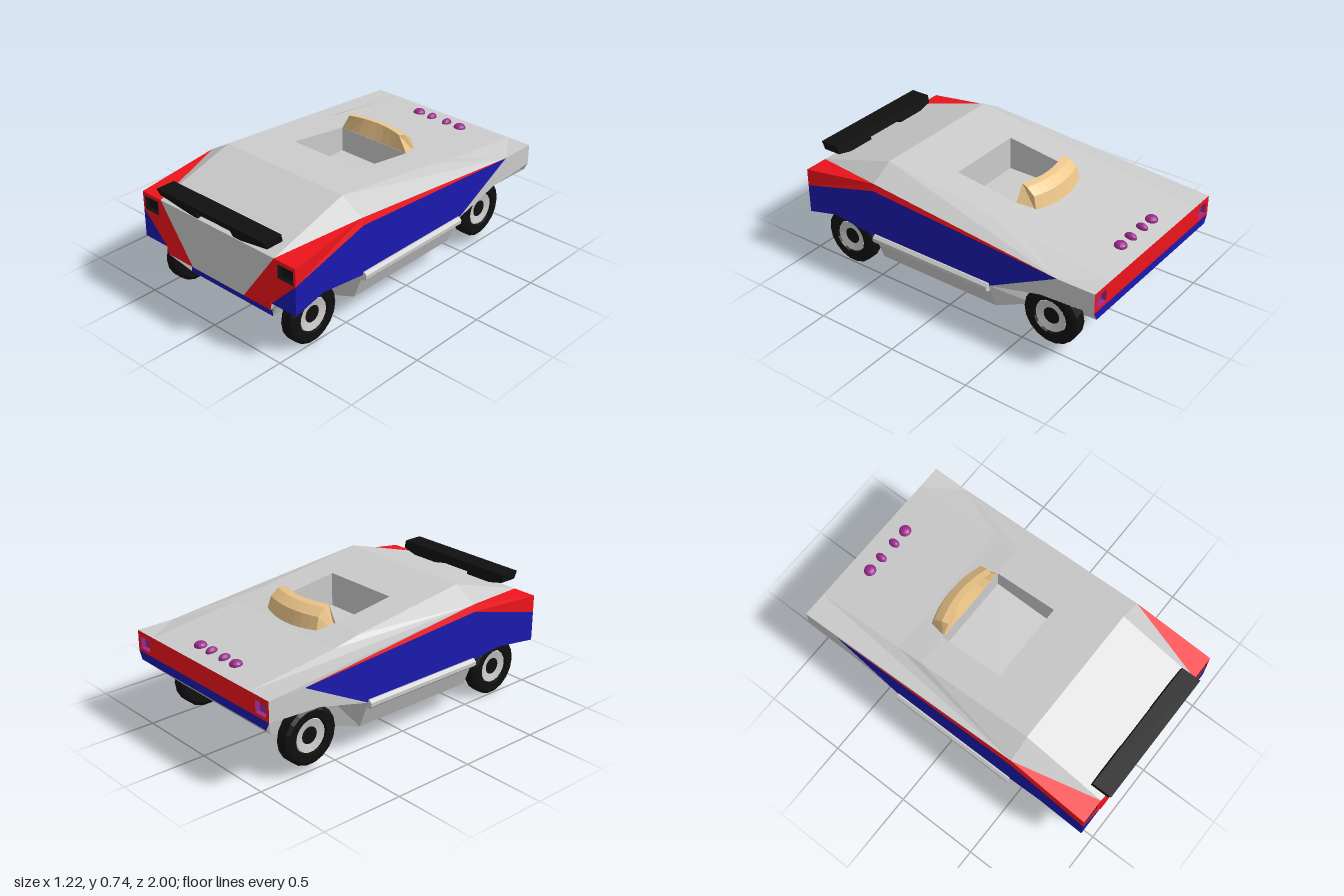
import * as THREE from 'three';

const mat = (color) => new THREE.MeshStandardMaterial({ color, side: THREE.DoubleSide, flatShading: true });
const grey = mat(0xcccccc), red = mat(0xf0141c), blue = mat(0x1a1ab0), black = mat(0x101010);
const tan = mat(0xecc588), purple = mat(0x9a2a8c);

const mirror = (pts) => pts.map(([x, y, z]) => [-x, y, z]).reverse();

// Flat-shaded mesh from polygons, each cut into a fan from its first corner
function panels(name, material, polys, mirrored = false) {
  const pos = [];
  const add = (p) => {
    for (let i = 1; i < p.length - 1; i++) pos.push(...p[0], ...p[i], ...p[i + 1]);
  };
  polys.forEach((p) => {
    add(p);
    if (mirrored) add(mirror(p));
  });
  const g = new THREE.BufferGeometry();
  g.setAttribute('position', new THREE.Float32BufferAttribute(pos, 3));
  g.computeVertexNormals();
  const m = new THREE.Mesh(g, material);
  m.name = name;
  return m;
}

// Quads joining consecutive cross-sections of equal length
function loft(rows) {
  const out = [];
  for (let i = 0; i < rows.length - 1; i++)
    for (let j = 0; j < rows[i].length - 1; j++)
      out.push([rows[i][j], rows[i + 1][j], rows[i + 1][j + 1], rows[i][j + 1]]);
  return out;
}

// Upright panel with rectangular openings, and open boxes set into them
function lampPanel(name, outlines, z, [x0, x1, y0, y1], depth, lampMat) {
  const group = new THREE.Group();
  group.name = name;
  const shapes = outlines.map((o) => new THREE.Shape(o.map(([x, y]) => new THREE.Vector2(x, y))));
  for (const s of [-1, 1]) {
    const hole = [[x0, y0], [x0, y1], [x1, y1], [x1, y0]].map(([x, y]) => new THREE.Vector2(s * x, y));
    shapes[shapes.length === 1 || s < 0 ? 0 : 1].holes.push(new THREE.Path(hole));
    const lamp = new THREE.Mesh(new THREE.BoxGeometry(x1 - x0, y1 - y0, 0.002), lampMat);
    lamp.position.set(s * (x0 + x1) / 2, (y0 + y1) / 2, z - depth);
    lamp.name = name + 'Lamp';
    const rim = hole.map((p) => [p.x, p.y, z]);
    const back = hole.map((p) => [p.x, p.y, z - depth]);
    const walls = rim.map((p, i) => [p, rim[(i + 1) % 4], back[(i + 1) % 4], back[i]]);
    group.add(lamp, panels(name + 'LampRecess', lampMat, walls));
  }
  const face = new THREE.Mesh(new THREE.ShapeGeometry(shapes), red);
  face.position.z = z;
  face.name = name + 'Face';
  group.add(face);
  return group;
}

function wheel(name, x, y, z) {
  const g = new THREE.Group();
  g.name = name;
  const lathe = (pts, m, part) => {
    const mesh = new THREE.Mesh(new THREE.LatheGeometry(pts.map((p) => new THREE.Vector2(...p)), 18), m);
    mesh.rotation.z = -Math.PI / 2;
    mesh.name = part;
    g.add(mesh);
  };
  lathe([[0, -0.045], [0.15, -0.045], [0.17, -0.032], [0.17, 0.032], [0.15, 0.045], [0.105, 0.045], [0.1, 0.02]], black, 'tyre');
  lathe([[0.1, 0.02], [0.095, 0.036], [0.05, 0.026]], grey, 'rim');
  lathe([[0.05, 0.026], [0, 0.026]], black, 'hub');
  g.position.set(x, y, z);
  if (x < 0) g.rotation.y = Math.PI;
  return g;
}

export function createModel() {
  const car = new THREE.Group();
  car.name = 'wedgeCar';
  const W = 0.585, R = 0.435, C = 0.245;

  // Roof around the cockpit opening
  const row = (a, b, y, z) => [[a, y, z], [b, y, z]];
  car.add(panels('roof', grey, [
    ...loft([row(-R, R, 0.59, 0.96), row(-R, R, 0.745, 0.46), row(-R, R, 0.702, 0.125)]),
    ...loft([row(-R, R, 0.65, -0.27), row(-R, R, 0.618, -0.44), row(-R, R, 0.55, -1)]),
  ]));
  car.add(panels('roofSides', grey, [
    ...loft([row(C, R, 0.702, 0.125), row(C, R, 0.65, -0.27)]),
    [[W, 0.55, -0.77], [W, 0.55, -1], [R, 0.55, -1], [R, 0.618, -0.44], [R, 0.65, -0.27],
      [R, 0.702, 0.125], [R, 0.745, 0.46], [0.573, 0.665, 0.46]],
    [[R, 0.745, 0.46], [R, 0.59, 0.96], [0.573, 0.665, 0.46]],
  ], true));

  // Cockpit tub
  const F = 0.5;
  car.add(panels('cockpit', grey, [
    [[-C, F, 0.125], [C, F, 0.125], [C, F, -0.27], [-C, F, -0.27]],
    [[-C, 0.702, 0.125], [C, 0.702, 0.125], [C, F, 0.125], [-C, F, 0.125]],
    [[-C, 0.65, -0.27], [-C, F, -0.27], [C, F, -0.27], [C, 0.65, -0.27]],
    ...[-C, C].map((x) => [[x, 0.702, 0.125], [x, 0.65, -0.27], [x, F, -0.27], [x, F, 0.125]]),
  ]));

  // Side panels
  car.add(panels('redSideStripe', red, [
    [[W, 0.485, 0.96], [W, 0.625, 0.46], [0.573, 0.665, 0.46], [W, 0.59, 0.96]],
    [[W, 0.625, 0.46], [W, 0.55, -0.77], [0.573, 0.665, 0.46]],
    [[0.573, 0.665, 0.46], [R, 0.59, 0.96], [W, 0.59, 0.96]],
  ], true));
  car.add(panels('blueSide', blue, [
    [[W, 0.625, 0.46], [W, 0.485, 0.96], [W, 0.31, 0.96], [W, 0.36, 0.76], [W, 0.325, 0.46],
      [W, 0.325, -0.34], [W, 0.55, -0.77]],
    [[W, 0.485, 0.96], [0.41, 0.31, 0.96], [W, 0.31, 0.96]],
  ], true));
  car.add(panels('rearSide', grey, [
    [[W, 0.55, -0.77], [W, 0.325, -0.34], [W, 0.41, -0.67], [W, 0.43, -1], [W, 0.55, -1]],
  ], true));

  // Nose
  const noseHalf = [[0.435, 0.59], [0.2, 0.265], [0.4, 0.265], [0.41, 0.31], [W, 0.485], [W, 0.59]];
  car.add(lampPanel('nose', [noseHalf.map(([x, y]) => [-x, y]), noseHalf], 0.96, [0.46, 0.57, 0.485, 0.567], 0.03, black));
  car.add(panels('noseCentre', grey, [
    [[-R, 0.59, 0.96], [-0.2, 0.265, 0.96], [0.2, 0.265, 0.96], [R, 0.59, 0.96]],
    [[-0.2, 0.265, 0.96], [-0.11, 0.19, 0.87], [0.11, 0.19, 0.87], [0.2, 0.265, 0.96]],
  ]));
  car.add(panels('chin', red, [[[0.2, 0.265, 0.96], [0.11, 0.19, 0.87], [0.32, 0.19, 0.87], [0.4, 0.265, 0.96]]], true));
  car.add(panels('chinStrip', blue, [[[-0.32, 0.19, 0.87], [-0.32, 0.145, 0.87], [0.32, 0.145, 0.87], [0.32, 0.19, 0.87]]]));
  car.add(panels('noseUnderside', grey, [
    [[0.4, 0.333, 0.87], [0.41, 0.31, 0.96], [0.4, 0.265, 0.96], [0.32, 0.19, 0.87], [0.32, 0.145, 0.87]],
    [[0.41, 0.31, 0.96], [0.4, 0.333, 0.87], [W, 0.333, 0.87], [W, 0.31, 0.96]],
  ], true));

  // Tail
  car.add(lampPanel('tail', [[[-W, 0.43], [W, 0.43], [W, 0.55], [-W, 0.55]]], -1, [0.475, 0.56, 0.45, 0.52], -0.03, purple));
  car.add(panels('tailStrip', blue, [[[-W, 0.43, -1], [W, 0.43, -1], [0.56, 0.38, -1], [-0.56, 0.38, -1]]]));

  // Lower hull with wheel wells: z, arch height, inner wall x, floor edge x and y, middle floor y
  const hull = [
    [0.87, 0.333, 0.4, 0.32, 0.145, 0.145], [0.76, 0.36, 0.4, 0.32, 0.145, 0.145],
    [0.57, 0.338, 0.4, 0.32, 0.145, 0.145], [0.46, 0.325, W, 0.52, 0.158, 0.145],
    [-0.34, 0.325, W, 0.52, 0.158, 0.145], [-0.5, 0.366, 0.42, 0.4, 0.17, 0.17],
    [-0.67, 0.41, 0.42, 0.4, 0.2, 0.2], [-0.85, 0.42, 0.42, 0.4, 0.24, 0.24],
    [-1, 0.43, W, 0.56, 0.38, 0.38],
  ].map(([z, arch, wall, edge, y, mid]) => [[W, arch, z], [wall, arch, z], [edge, y, z], [0.3, mid, z], [0, mid, z]]);
  car.add(panels('lowerHull', grey, loft(hull), true));

  // Sill tubes
  for (const s of [-1, 1]) {
    const sill = new THREE.Mesh(new THREE.CylinderGeometry(0.028, 0.028, 0.8, 8), grey);
    sill.rotation.set(Math.PI / 2, Math.PI / 8, 0);
    sill.position.set(s * 0.583, 0.317, 0.06);
    sill.name = 'sillTube';
    car.add(sill);
    car.add(wheel('frontWheel', s * 0.455, 0.17, 0.74));
    car.add(wheel('rearWheel', s < 0 ? -0.475 : 0.455, 0.215, -0.675));
  }

  // Wing and struts, narrowed and leaned forward towards the top
  const half = [[0.41, 0.685], [0.41, 0.64], [0.19, 0.592], [0.19, 0.545], [0.135, 0.545], [0.135, 0.635]];
  const outline = [...half, ...half.map(([x, y]) => [-x, y]).reverse()];
  const wingGeo = new THREE.ExtrudeGeometry(new THREE.Shape(outline.map((p) => new THREE.Vector2(...p))), { depth: 1, bevelEnabled: false });
  const wp = wingGeo.attributes.position;
  for (let i = 0; i < wp.count; i++) {
    const t = (wp.getY(i) - 0.545) / 0.14;
    wp.setZ(i, wp.getZ(i) > 0.5 ? 0.935 + 0.065 * t : 0.85 + 0.03 * t);
  }
  wingGeo.computeVertexNormals();
  const wing = new THREE.Mesh(wingGeo, black);
  wing.name = 'wing';
  car.add(wing);

  // Curved headrest behind the cockpit
  const ribs = [];
  for (let i = 0; i <= 8; i++) {
    const u = i / 4 - 1, b = 1 - u * u;
    ribs.push([
      [0.245 * u, 0.6, -0.272], [0.245 * u, 0.65, -0.272], [0.19 * u, 0.745, -0.272 - 0.035 * b],
      [0.2 * u, 0.738, -0.31 - 0.035 * b], [0.205 * u, 0.7, -0.36 - 0.038 * b], [0.215 * u, 0.61, -0.385 - 0.04 * b],
    ]);
  }
  car.add(panels('headrest', tan, [...loft(ribs), ribs[0], [...ribs[8]].reverse()]));

  // Row of domes on the rear deck
  for (const [x, r] of [[-0.16, 0.037], [-0.06, 0.024], [0.055, 0.024], [0.155, 0.037]]) {
    const dome = new THREE.Mesh(new THREE.SphereGeometry(1, 14, 8), purple);
    dome.scale.set(r, 0.027, 0.037);
    dome.position.set(x, 0.565, -0.88);
    dome.name = 'deckDome';
    car.add(dome);
  }
  return car;
}
